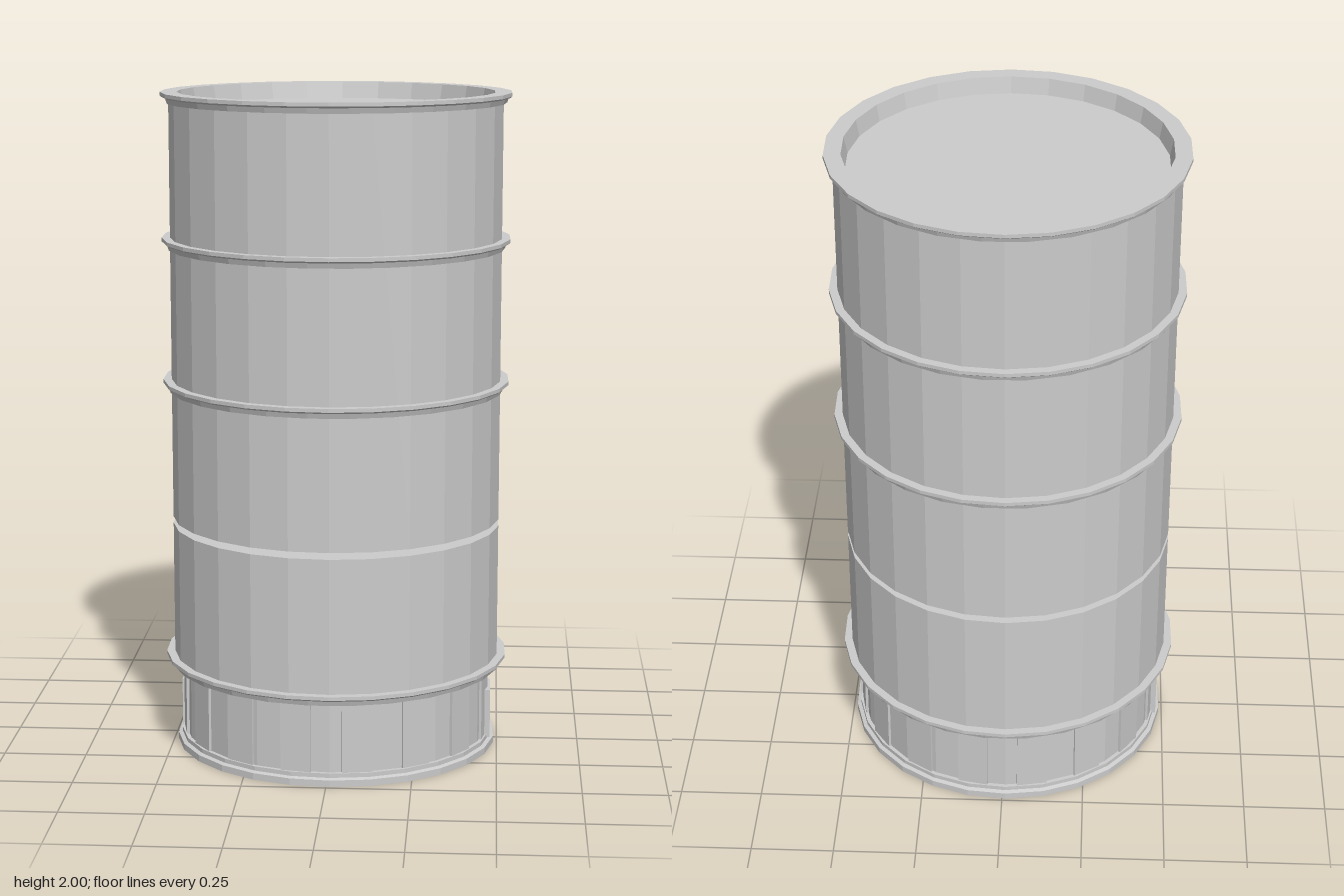
import * as THREE from 'three';

const SIDES = 26;
const STEP = (Math.PI * 2) / SIDES;
const PHASE = THREE.MathUtils.degToRad(1.2);

export function createModel() {
  const model = new THREE.Group();
  const material = new THREE.MeshStandardMaterial({ color: 0xcccccc, flatShading: true });

  const add = (parent, name, geometry) => {
    const mesh = new THREE.Mesh(geometry, material);
    mesh.name = name;
    parent.add(mesh);
    return mesh;
  };

  // Faceted solid of revolution from [radius, height] pairs, bottom to top
  const turned = (name, profile, phase = PHASE) =>
    add(model, name, new THREE.LatheGeometry(
      profile.map(([r, y]) => new THREE.Vector2(r, y)), SIDES, phase, Math.PI * 2));

  // Foot ring and skirt wall
  turned('footRing', [[0, 0], [0.492, 0], [0.492, 0.02], [0.48, 0.024], [0.48, 0.037], [0, 0.037]]);
  turned('skirtWall', [[0.468, 0.03], [0.468, 0.26]]);

  // Shallow raised panels around the skirt
  const panels = new THREE.Group();
  panels.name = 'skirtPanels';
  model.add(panels);
  const count = 16;
  for (let i = 0; i < count; i++) {
    const angle = ((i + 0.5) / count) * Math.PI * 2;
    const panel = add(panels, 'skirtPanel', new THREE.BoxGeometry(0.092, 0.215, 0.02));
    panel.position.set(Math.sin(angle) * 0.461, 0.1425, Math.cos(angle) * 0.461);
    panel.rotation.y = angle;
  }

  // Lower drum and, above an open slit, the upper drum with a recessed lid
  turned('lowerDrum', [[0, 0.262], [0.5, 0.262], [0.5, 0.69], [0, 0.69]]);
  turned('upperDrum', [[0, 0.71], [0.5, 0.71], [0.5, 1.985], [0.475, 2], [0.465, 1.95], [0, 1.95]]);

  // Stepped hoops: a narrow lower band under a wider flange
  const hoop = (name, top) => {
    turned(name + 'Band', [
      [0.49, top - 0.032], [0.508, top - 0.032], [0.514, top - 0.014], [0.49, top - 0.014],
    ], PHASE + STEP / 2);
    turned(name + 'Flange', [
      [0.475, top - 0.016], [0.518, top - 0.016], [0.525, top - 0.011], [0.525, top], [0.475, top],
    ]);
  };
  hoop('baseHoop', 0.285);
  hoop('lowerHoop', 1.137);
  hoop('upperHoop', 1.567);
  hoop('rimHoop', 2);

  // Framed doors on opposite sides of the skirt
  for (const turn of [0, Math.PI]) {
    const door = new THREE.Group();
    door.name = 'door';
    door.rotation.y = turn;
    model.add(door);
    const box = (name, x, y, z, w, h, d) =>
      add(door, name, new THREE.BoxGeometry(w, h, d)).position.set(x, y, z);
    for (const side of [-1, 1]) {
      box('doorJamb', 0.466, 0.105, 0.03 + side * 0.052, 0.026, 0.15, 0.016);
    }
    box('doorLintel', 0.466, 0.172, 0.03, 0.026, 0.016, 0.12);
    box('doorLeaf', 0.462, 0.09, 0.03, 0.026, 0.12, 0.06);
    box('doorHandle', 0.474, 0.095, 0.014, 0.008, 0.03, 0.008);
  }

  return model;
}
